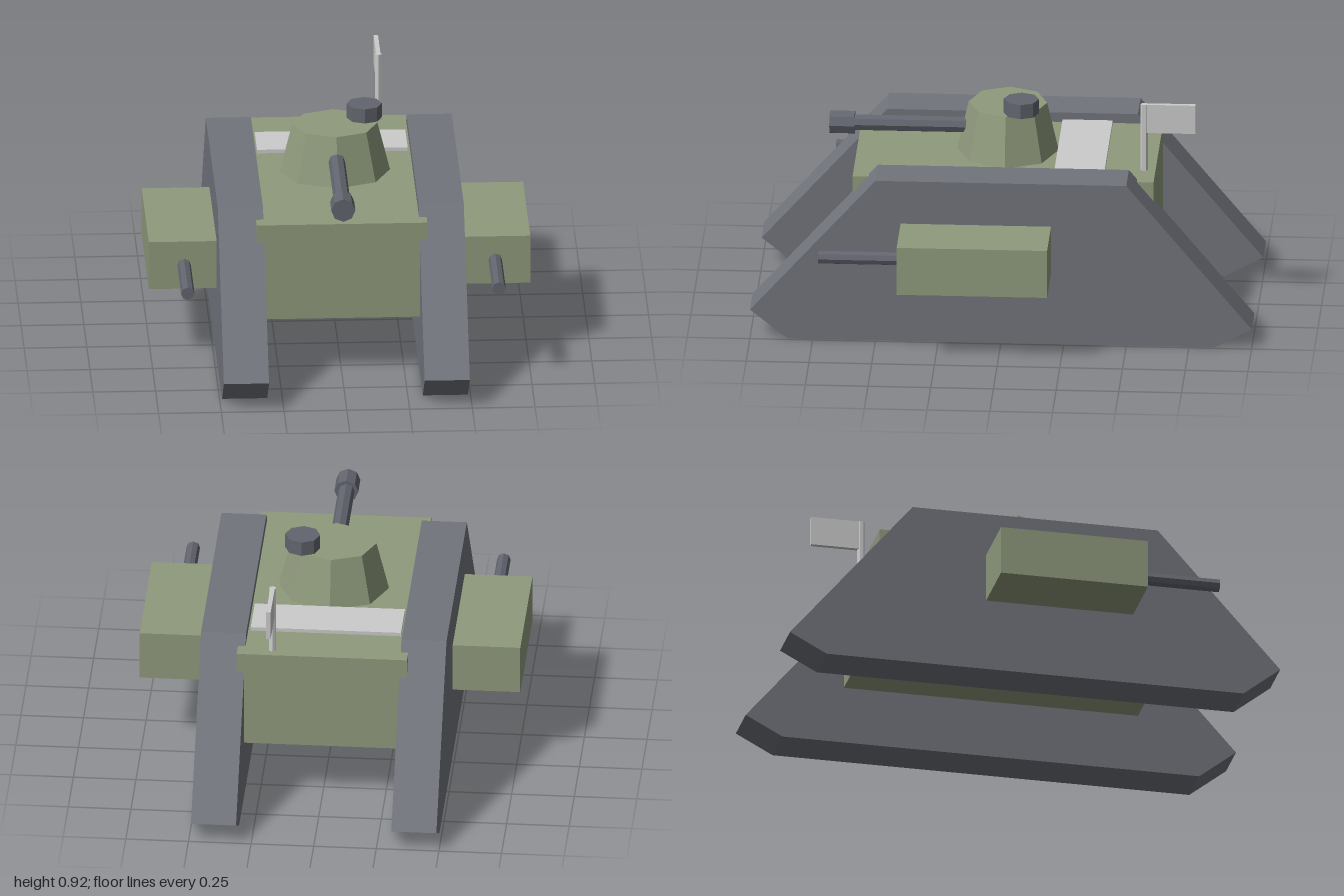
import * as THREE from 'three';

const mat = (color) => new THREE.MeshStandardMaterial({ color, flatShading: true });

export function createModel() {
  const model = new THREE.Group();
  const green = mat(0x8f9a7c);
  const steel = mat(0x71747c);
  const gunMetal = mat(0x62656e);
  const grey = mat(0xcccccc);

  const add = (name, geometry, material, x, y, z) => {
    const mesh = new THREE.Mesh(geometry, material);
    mesh.name = name;
    mesh.position.set(x, y, z);
    model.add(mesh);
    return mesh;
  };
  const box = (name, material, w, h, d, x, y, z) =>
    add(name, new THREE.BoxGeometry(w, h, d), material, x, y, z);
  // Eight-sided rod running along z from z0 to z1
  const rod = (name, r, x, y, z0, z1) =>
    add(name, new THREE.CylinderGeometry(r, r, z1 - z0, 8).rotateX(Math.PI / 2),
      gunMetal, x, y, (z0 + z1) / 2);

  // Hull and rear engine plate
  box('hull', green, 0.68, 0.4, 1.2, 0, 0.44, 0);
  box('enginePlate', grey, 0.6, 0.03, 0.2, 0, 0.64, -0.3);

  // Track profile as (z, y), extruded across the width
  const profile = new THREE.Shape([
    [1, 0.12], [0.5, 0.68], [-0.5, 0.68], [-1, 0.08], [-0.85, 0], [0.85, 0],
  ].map(([z, y]) => new THREE.Vector2(z, y)));
  const trackGeometry = new THREE.ExtrudeGeometry(profile, { depth: 0.18, bevelEnabled: false });
  trackGeometry.translate(0, 0, -0.09).rotateY(-Math.PI / 2);

  // Tracks, side sponsons and their guns
  for (const [side, s] of [['left', 1], ['right', -1]]) {
    add(side + 'Track', trackGeometry, steel, s * 0.4, 0, 0);
    box(side + 'Sponson', green, 0.28, 0.2, 0.6, s * 0.62, 0.4, 0.1);
    rod(side + 'SponsonGun', 0.027, s * 0.62, 0.4, 0.38, 0.72);
  }

  // Turret, slightly narrower front to back
  const turret = add('turret', new THREE.CylinderGeometry(0.17, 0.22, 0.2, 8), green, 0, 0.74, 0);
  turret.scale.z = 0.92;
  add('hatch', new THREE.CylinderGeometry(0.07, 0.07, 0.06, 8), gunMetal, 0.12, 0.87, -0.06);

  // Main gun
  rod('mainBarrel', 0.033, 0, 0.74, 0.1, 0.63);
  rod('muzzle', 0.048, 0, 0.74, 0.61, 0.71);

  // Flag on the rear deck
  add('flagPole', new THREE.CylinderGeometry(0.015, 0.015, 0.28, 6), grey, 0.2, 0.78, -0.555);
  box('flag', grey, 0.018, 0.12, 0.2, 0.2, 0.86, -0.66);

  return model;
}
